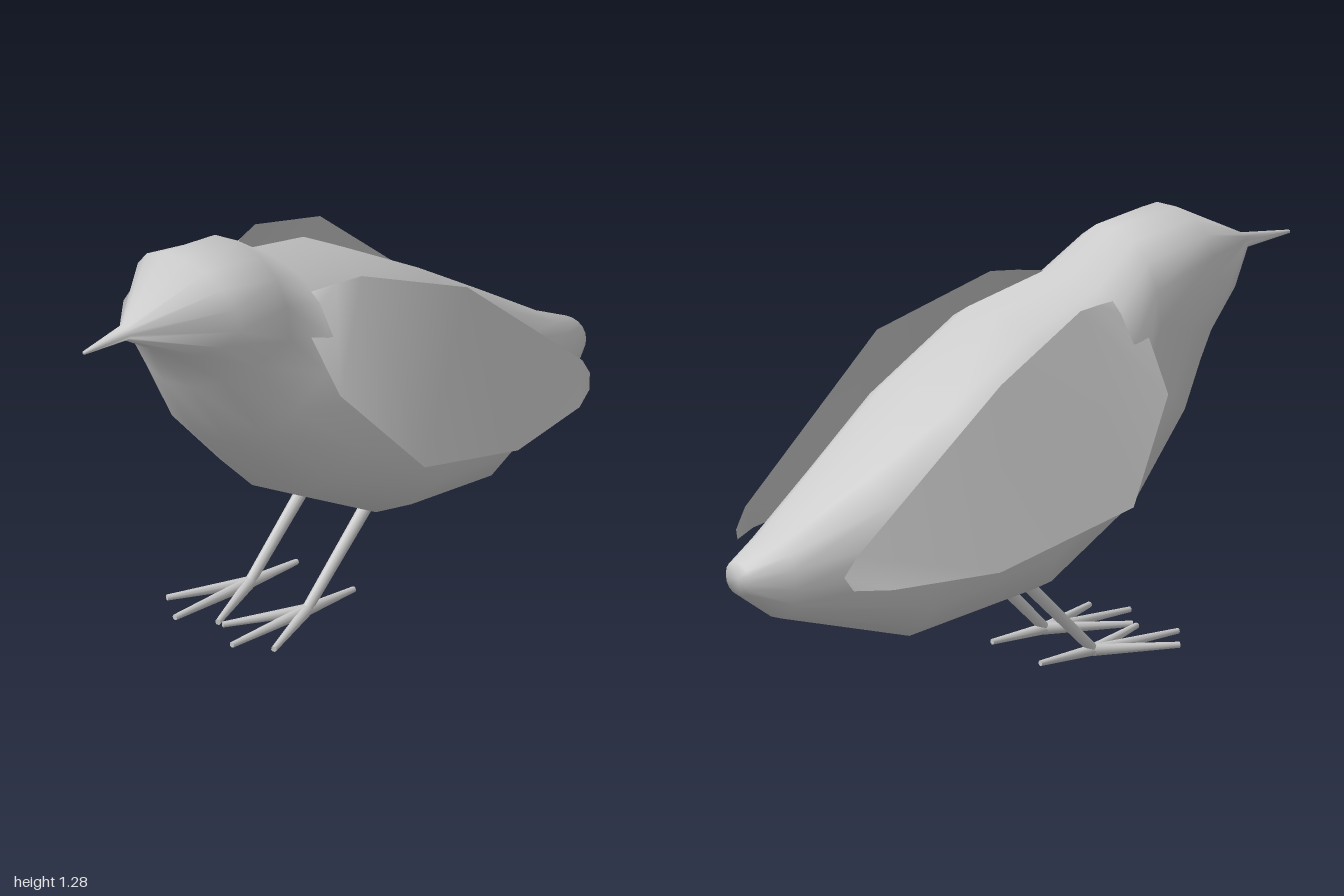
import * as THREE from 'three';

const material = new THREE.MeshStandardMaterial({ color: 0xcccccc });
const sheetMaterial = new THREE.MeshStandardMaterial({ color: 0xcccccc, side: THREE.DoubleSide });

function makeGeometry(positions, indices) {
  const g = new THREE.BufferGeometry();
  g.setAttribute('position', new THREE.Float32BufferAttribute(positions, 3));
  g.setIndex(indices);
  g.computeVertexNormals();
  return g;
}

function addMesh(parent, name, geometry, mat = material) {
  const mesh = new THREE.Mesh(geometry, mat);
  mesh.name = name;
  parent.add(mesh);
  return mesh;
}

// Tapered rod between two points
function addRod(parent, name, from, to, r0, r1, sides = 8) {
  const a = new THREE.Vector3(...from), b = new THREE.Vector3(...to);
  const dir = b.clone().sub(a);
  const rod = addMesh(parent, name, new THREE.CylinderGeometry(r1, r0, dir.length(), sides));
  rod.position.copy(a).add(b).multiplyScalar(0.5);
  rod.quaternion.setFromUnitVectors(new THREE.Vector3(0, 1, 0), dir.normalize());
  return rod;
}

// Slanted rings from beak tip to tail: top z,y / side z,y / bottom z,y / half width
const RINGS = [
  [1.00, 1.13, 1.00, 1.125, 1.00, 1.12, 0.006],
  [0.83, 1.155, 0.83, 1.13, 0.84, 1.11, 0.025],
  [0.59, 1.285, 0.57, 1.12, 0.73, 1.04, 0.22],
  [0.37, 1.265, 0.37, 1.02, 0.67, 0.91, 0.225],
  [0.22, 1.155, 0.28, 0.90, 0.54, 0.68, 0.285],
  [-0.06, 1.085, 0.08, 0.76, 0.31, 0.43, 0.365],
  [-0.37, 0.90, -0.17, 0.56, -0.03, 0.25, 0.385],
  [-0.62, 0.735, -0.50, 0.44, -0.46, 0.18, 0.28],
  [-0.88, 0.56, -0.88, 0.43, -0.88, 0.31, 0.13],
  [-1.00, 0.50, -1.00, 0.45, -1.00, 0.40, 0.06],
];

function bodyGeometry() {
  const N = 16, pos = [], idx = [];
  const bulge = (v) => Math.sign(v) * Math.pow(Math.abs(v), 0.9);
  for (const [tz, ty, sz, sy, bz, by, w] of RINGS) {
    for (let j = 0; j < N; j++) {
      const t = (j / N) * Math.PI * 2;
      const c = bulge(Math.cos(t)), s = bulge(Math.sin(t)), k = Math.abs(c);
      const [ez, ey] = c >= 0 ? [tz, ty] : [bz, by];
      pos.push(w * s, sy + (ey - sy) * k, sz + (ez - sz) * k);
    }
  }
  for (let i = 0; i < RINGS.length - 1; i++) {
    for (let j = 0; j < N; j++) {
      const a = i * N + j, b = i * N + (j + 1) % N;
      idx.push(a, b, a + N, b, b + N, a + N);
    }
  }
  // close both ends
  const last = (RINGS.length - 1) * N, tail = pos.length / 3;
  pos.push(0, 0.45, -1, 0, 1.125, 1);
  for (let j = 0; j < N; j++) {
    const k = (j + 1) % N;
    idx.push(tail, last + j, last + k, tail + 1, k, j);
  }
  return makeGeometry(pos, idx);
}

// Thin wing: strip between the upper (back) edge and the lower (outer) edge
function wingGeometry() {
  const upper = [[0.17, 1.11, 0.24], [0.2, 1.12, 0.16], [0.225, 1.125, 0.08],
    [0.31, 0.99, -0.27], [0.28, 0.55, -0.77], [0.27, 0.49, -0.81]];
  const lower = [[0.22, 1.05, 0.31], [0.36, 0.86, 0.30], [0.49, 0.59, 0.08],
    [0.43, 0.46, -0.36], [0.35, 0.45, -0.69], [0.29, 0.45, -0.79]];
  const n = upper.length, idx = [];
  for (let i = 0; i < n - 1; i++) {
    idx.push(i, n + i, i + 1, i + 1, n + i, n + i + 1);
  }
  return makeGeometry([...upper, ...lower].flat(), idx);
}

export function createModel() {
  const model = new THREE.Group();
  model.name = 'bird';
  addMesh(model, 'bodyHeadAndBeak', bodyGeometry());

  const wing = wingGeometry();
  for (const [side, s] of [['left', 1], ['right', -1]]) {
    const half = new THREE.Group();
    half.name = side + 'Side';
    half.scale.x = s;
    model.add(half);

    addMesh(half, side + 'Wing', wing, sheetMaterial);

    // leg and foot with three front toes and one back toe
    addRod(half, side + 'Leg', [0.12, 0.28, -0.045], [0.12, 0.02, 0.205], 0.02, 0.016);
    const toes = { middleToe: [0.12, 0.51], outerToe: [0.225, 0.44], innerToe: [0.01, 0.44], backToe: [0.12, 0.01] };
    for (const [name, [x, z]] of Object.entries(toes)) {
      addRod(half, side + name[0].toUpperCase() + name.slice(1), [0.12, 0.021, 0.2], [x, 0.018, z], 0.018, 0.009);
    }
  }
  return model;
}
